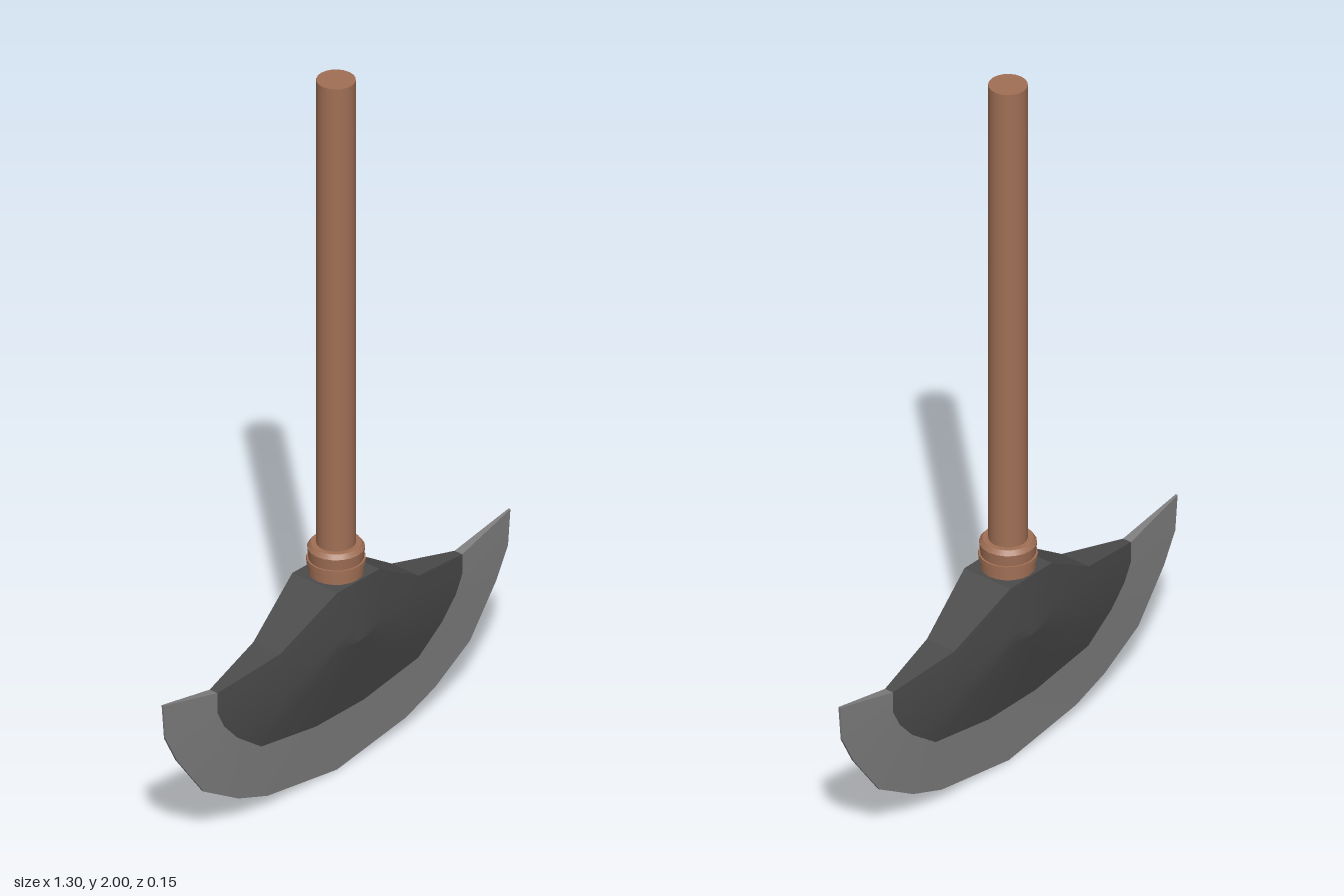
import * as THREE from 'three';

const mat = (name, color) => {
  const m = new THREE.MeshStandardMaterial({ color });
  m.name = name;
  return m;
};

// Right half of the blade as rings from the core to the cutting edge;
// each runs from the bottom centre up to the top edge.
const RINGS = [
  { z: 0.075, pts: [[0, 0.4], [0, 0.4], [0, 0.41], [0, 0.43], [0, 0.47], [0, 0.52], [0, 0.575]] },
  { z: 0.075, pts: [[0, 0.4], [0.03, 0.4], [0.07, 0.41], [0.08, 0.43], [0.08, 0.47], [0.08, 0.52], [0.08, 0.575]] },
  { z: 0.045, pts: [[0, 0.285], [0.06, 0.285], [0.18, 0.3], [0.225, 0.34], [0.25, 0.39], [0.26, 0.43], [0.26, 0.465]] },
  { z: 0.013, pts: [[0, 0.168], [0.09, 0.168], [0.295, 0.2], [0.385, 0.265], [0.435, 0.32], [0.46, 0.37], [0.46, 0.427]] },
  { z: 0.003, pts: [[0, 0], [0.26, 0.038], [0.37, 0.078], [0.5, 0.155], [0.6, 0.288], [0.643, 0.37], [0.652, 0.47]] },
];

// Mirror a half ring into a full one, from left tip to right tip
const fullRing = ({ z, pts }) => [
  ...pts.slice(1).reverse().map(([x, y]) => [-x, y, z]),
  ...pts.map(([x, y]) => [x, y, z]),
];
const flipZ = (row) => row.map(([x, y, z]) => [x, y, -z]);

// Surface through rows of points
function grid(rows, flat = false) {
  const n = rows[0].length;
  const index = [];
  for (let i = 0; i < rows.length - 1; i++) {
    for (let j = 0; j < n - 1; j++) {
      const a = i * n + j, b = a + n;
      index.push(a, b, b + 1, a, b + 1, a + 1);
    }
  }
  let g = new THREE.BufferGeometry();
  g.setAttribute('position', new THREE.Float32BufferAttribute(rows.flat(2), 3));
  g.setIndex(index);
  if (flat) g = g.toNonIndexed();
  g.computeVertexNormals();
  return g;
}

export function createModel() {
  const wood = mat('wood', 0xa06f55);
  const darkIron = mat('dark iron', 0x4b4b4b);
  const steel = mat('steel', 0x7e7e7e);

  const model = new THREE.Group();
  model.name = 'axe';
  const add = (parent, name, geometry, material) => {
    const mesh = new THREE.Mesh(geometry, material);
    mesh.name = name;
    parent.add(mesh);
    return mesh;
  };

  // Blade: a thick dark body and a thin bright edge, on both faces
  const blade = new THREE.Group();
  blade.name = 'blade';
  model.add(blade);
  const rings = RINGS.map(fullRing);
  const body = rings.slice(0, 4), edge = rings.slice(3);
  const back = (rows) => rows.map(flipZ).reverse();
  add(blade, 'bodyFront', grid(body), darkIron);
  add(blade, 'bodyBack', grid(back(body)), darkIron);
  add(blade, 'edgeFront', grid(edge), steel);
  add(blade, 'edgeBack', grid(back(edge)), steel);

  // Rims that close the blade between front and back
  const rim = (name, row, material) => add(blade, name, grid([row, flipZ(row)], true), material);
  const right = rings.map((r) => r[r.length - 1]);
  const left = rings.map((r) => r[0]);
  rim('cuttingRim', rings[4], steel);
  rim('rightTipTop', [right[4], right[3]], steel);
  rim('leftTipTop', [left[3], left[4]], steel);
  rim('bodyTop', [...right.slice(0, 4).reverse(), ...left.slice(1, 4)], darkIron);

  // Shaft
  const cylinder = (name, rTop, rBottom, y0, y1) => {
    const mesh = add(model, name, new THREE.CylinderGeometry(rTop, rBottom, y1 - y0, 20), wood);
    mesh.position.y = (y0 + y1) / 2;
  };
  cylinder('shaft', 0.05, 0.05, 0.56, 2);

  // Stepped collar: name, top radius, bottom radius, bottom, top
  [
    ['collarBase', 0.07, 0.07, 0.57, 0.605],
    ['collarRing', 0.075, 0.075, 0.605, 0.617],
    ['collarBand', 0.073, 0.07, 0.617, 0.648],
    ['collarCap', 0.064, 0.073, 0.648, 0.66],
  ].forEach((step) => cylinder(...step));

  return model;
}
